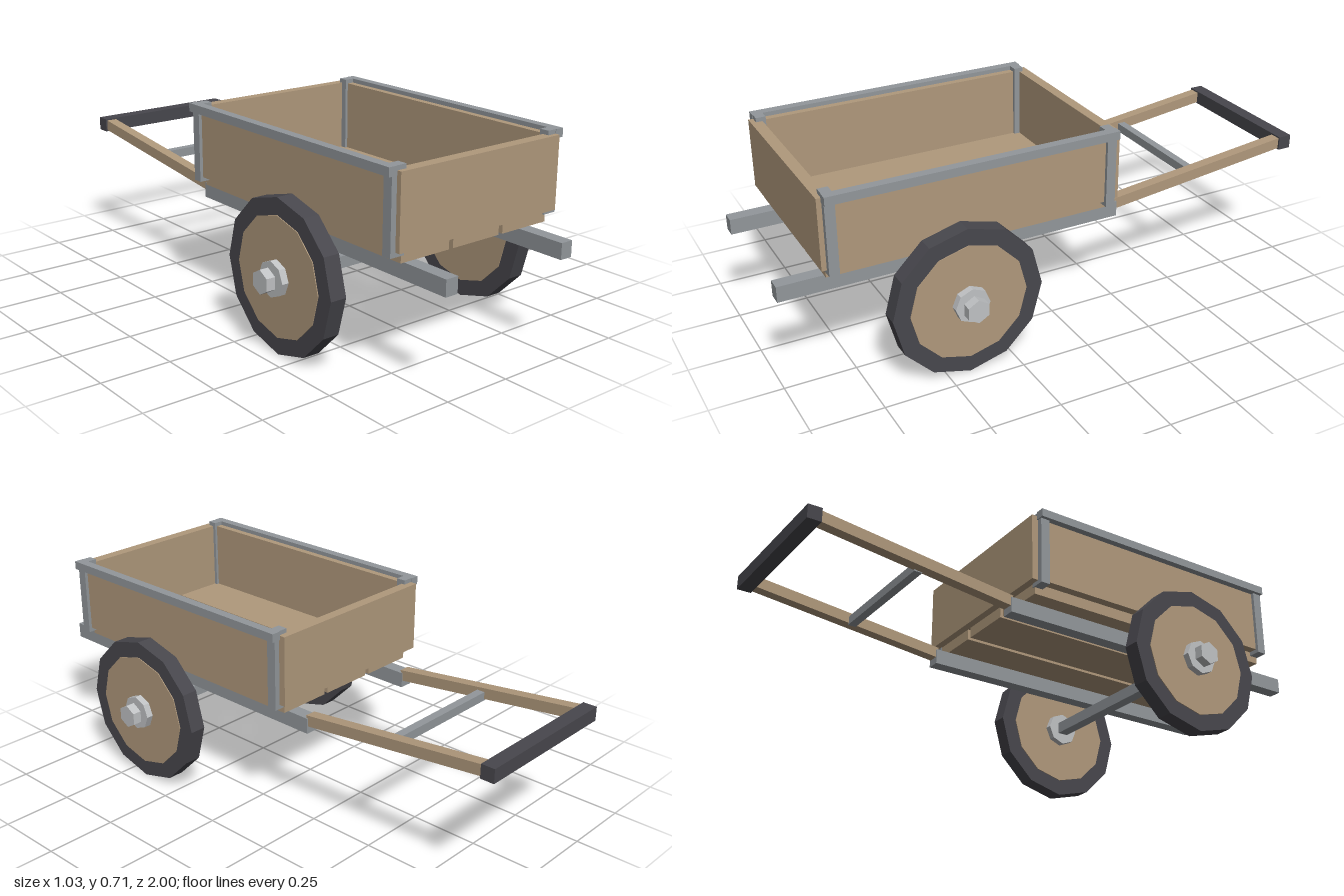
import * as THREE from 'three';

const material = (name, color) => {
  const m = new THREE.MeshStandardMaterial({ color, flatShading: true });
  m.name = name;
  return m;
};

export function createModel() {
  const cart = new THREE.Group();
  cart.name = 'handCart';
  const wood = material('wood', 0xb0997c);
  const steel = material('steel', 0x92979b);
  const rubber = material('rubber', 0x48474d);
  const paleMetal = material('paleMetal', 0xc0c2c4);

  const add = (parent, name, geometry, mat) => {
    const mesh = new THREE.Mesh(geometry, mat);
    mesh.name = name;
    parent.add(mesh);
    return mesh;
  };
  // Box given by its limits on each axis
  const box = (name, mat, [x0, x1], [y0, y1], [z0, z1]) => {
    const mesh = add(cart, name, new THREE.BoxGeometry(x1 - x0, y1 - y0, z1 - z0), mat);
    mesh.position.set((x0 + x1) / 2, (y0 + y1) / 2, (z0 + z1) / 2);
    return mesh;
  };
  // The same box on the left (+x) and the right (-x)
  const pair = (name, mat, [x0, x1], y, z) => {
    box(name + 'Left', mat, [x0, x1], y, z);
    box(name + 'Right', mat, [-x1, -x0], y, z);
  };
  // Square bar between two points
  const bar = (name, mat, a, b, size) => {
    const mesh = add(cart, name, new THREE.BoxGeometry(size, size, a.distanceTo(b)), mat);
    mesh.position.copy(a).lerp(b, 0.5);
    mesh.lookAt(b);
  };

  // Floor planks with a loose board lying on them
  const floorY = [0.41, 0.45], floorZ = [-0.175, 0.85];
  box('middlePlank', wood, [-0.1, 0.1], floorY, floorZ);
  pair('outerPlank', wood, [0.117, 0.315], floorY, floorZ);
  box('looseBoard', wood, [0.05, 0.28], [0.45, 0.465], [0.5, 0.66]);

  // Box walls
  const wallY = [0.45, 0.7];
  pair('sideWall', wood, [0.315, 0.348], wallY, [-0.175, 0.85]);
  box('frontWall', wood, [-0.34, 0.34], wallY, [0.83, 0.87]);
  box('backWall', wood, [-0.34, 0.34], wallY, [-0.202, -0.165]);

  // Corner posts and top rails
  pair('frontPost', steel, [0.305, 0.36], [0.435, 0.715], [0.818, 0.853]);
  pair('backPost', steel, [0.305, 0.36], [0.435, 0.715], [-0.178, -0.143]);
  pair('topRail', steel, [0.34, 0.373], [0.685, 0.715], [-0.182, 0.855]);

  // Chassis and axle
  pair('chassisRail', steel, [0.227, 0.275], [0.34, 0.396], [-0.242, 1]);
  box('axle', steel, [-0.49, 0.49], [0.246, 0.288], [0.399, 0.441]);

  // Pulling handle
  for (const [side, s] of [['Left', 1], ['Right', -1]]) {
    bar('handleArm' + side, wood,
      new THREE.Vector3(s * 0.25, 0.385, -0.235),
      new THREE.Vector3(s * 0.257, 0.472, -0.97), 0.04);
  }
  box('handleBrace', steel, [-0.24, 0.24], [0.402, 0.434], [-0.598, -0.568]);
  box('handleGrip', rubber, [-0.283, 0.283], [0.445, 0.495], [-1, -0.95]);

  // Wheels
  const disc = (radius, width, sides, turn = 0) =>
    new THREE.CylinderGeometry(radius, radius, width, sides).rotateY(turn).rotateZ(Math.PI / 2);
  for (const [side, s] of [['Left', 1], ['Right', -1]]) {
    const wheel = new THREE.Group();
    wheel.name = 'wheel' + side;
    wheel.position.set(s * 0.415, 0.267, 0.42);
    add(wheel, 'tyre', disc(0.267, 0.06, 12), rubber);
    add(wheel, 'wheelDisc', disc(0.208, 0.066, 12), wood);
    add(wheel, 'hub', disc(0.062, 0.116, 8), paleMetal);
    add(wheel, 'hubNut', disc(0.042, 0.033, 6, Math.PI / 2), paleMetal).position.x = s * 0.0835;
    cart.add(wheel);
  }
  return cart;
}
